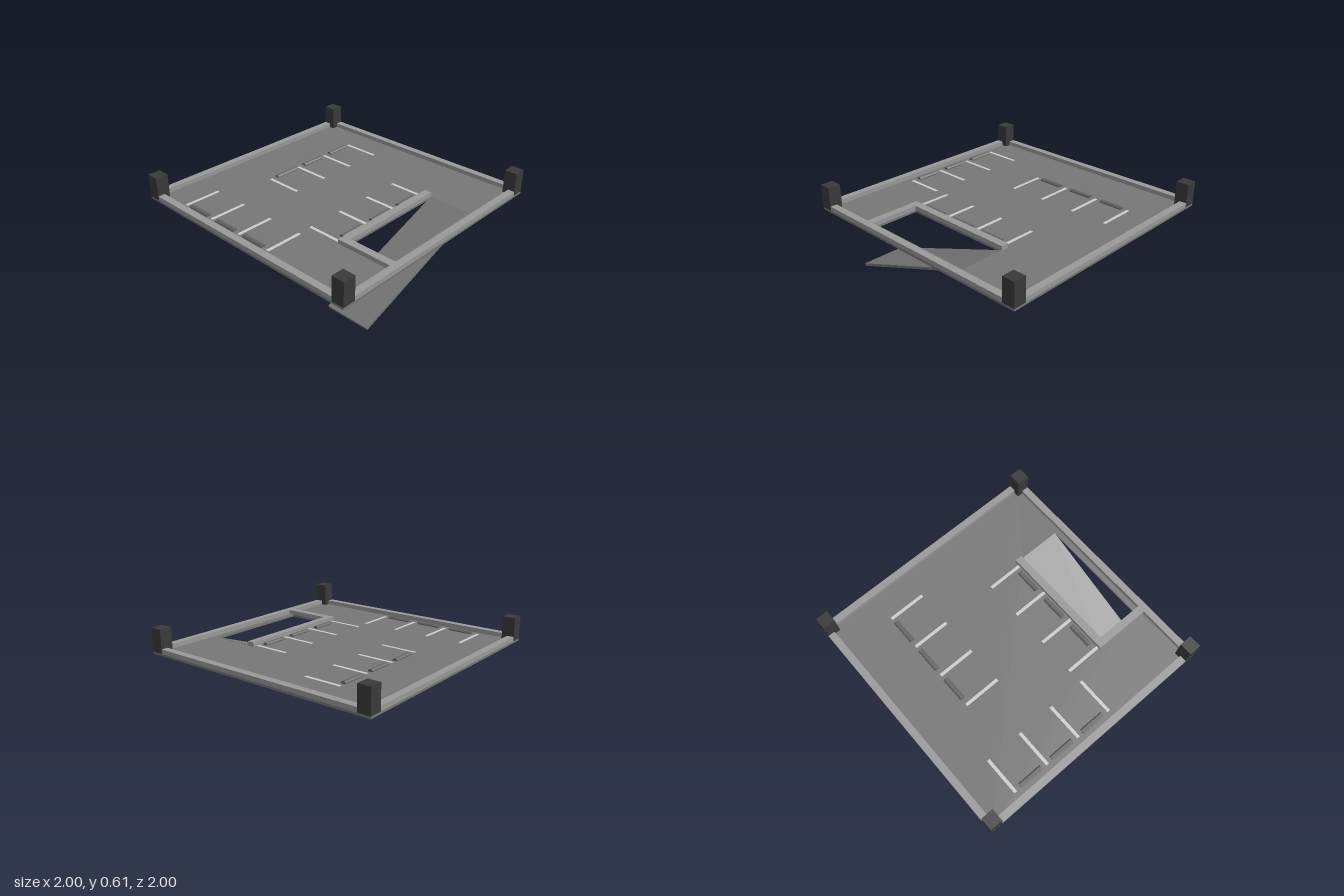
import * as THREE from 'three';

const mat = (color) => new THREE.MeshStandardMaterial({ color, flatShading: true });

const FLOOR = 0.425; // top of the deck slab
const BASE = 0.408; // underside of the deck slab

export function createModel() {
  const model = new THREE.Group();
  const concrete = mat(0x777777);
  const kerbGrey = mat(0x999999);
  const dark = mat(0x3a3a3a);
  const paint = mat(0xdddddd);
  const stopGrey = mat(0x666666);

  const add = (name, geometry, material, parent = model) => {
    const mesh = new THREE.Mesh(geometry, material);
    mesh.name = name;
    parent.add(mesh);
    return mesh;
  };
  // Box given by its extents
  const block = (name, material, x0, x1, y0, y1, z0, z1, parent) =>
    add(name, new THREE.BoxGeometry(x1 - x0, y1 - y0, z1 - z0), material, parent)
      .position.set((x0 + x1) / 2, (y0 + y1) / 2, (z0 + z1) / 2);
  const group = (name) => {
    const g = new THREE.Group();
    g.name = name;
    model.add(g);
    return g;
  };

  // Deck slab with the ramp opening
  const rect = (Type, x0, x1, z0, z1) => new Type([
    [x0, -z1], [x1, -z1], [x1, -z0], [x0, -z0],
  ].map(([x, y]) => new THREE.Vector2(x, y)));
  const deck = rect(THREE.Shape, -1, 1, -1, 1);
  deck.holes.push(rect(THREE.Path, 0.55, 0.9, -0.45, 0.45));
  const slab = add('deckSlab',
    new THREE.ExtrudeGeometry(deck, { depth: FLOOR - BASE, bevelEnabled: false }), concrete);
  slab.rotation.x = -Math.PI / 2;
  slab.position.y = BASE;

  // Ramp, sloping down towards the front at 20 degrees
  const angle = THREE.MathUtils.degToRad(20);
  const thickness = 0.02;
  const length = 1.12 / Math.cos(angle);
  const rampGeometry = new THREE.BoxGeometry(0.35, thickness, length);
  rampGeometry.translate(0, -thickness / 2, -length / 2);
  const ramp = add('ramp', rampGeometry, concrete);
  ramp.rotation.x = angle;
  ramp.position.set(0.725, thickness * Math.cos(angle), 0.67);

  // Edge kerbs and corner pillars
  const kerbs = group('kerbs');
  const pillars = group('pillars');
  const KERB = 0.46;
  for (const s of [-1, 1]) {
    const [a, b] = s < 0 ? [-1, -0.945] : [0.945, 1];
    block('sideKerb', kerbGrey, a, b, FLOOR, KERB, -0.9, 0.9, kerbs);
    block('endKerb', kerbGrey, -0.9, 0.9, FLOOR, KERB, a, b, kerbs);
    for (const t of [-1, 1]) {
      const [c, d] = t < 0 ? [-1, -0.9] : [0.9, 1];
      block('cornerPillar', dark, s < 0 ? -1 : 0.9, s < 0 ? -0.9 : 1, FLOOR, 0.61, c, d, pillars);
    }
  }
  // Kerbs around the ramp opening
  block('rampSideKerb', kerbGrey, 0.49, 0.55, FLOOR, KERB, -0.46, 0.45, kerbs);
  block('rampEndKerb', kerbGrey, 0.49, 0.945, FLOOR, KERB, 0.45, 0.51, kerbs);

  // Painted bay lines
  const lines = group('bayLines');
  const top = FLOOR + 0.002;
  for (let i = 0; i < 4; i++) {
    const z = -0.715 + i * 0.3;
    block('leftBayLine', paint, -0.55, -0.25, FLOOR, top, z - 0.0125, z + 0.0125, lines);
    block('rightBayLine', paint, 0.2, 0.49, FLOOR, top, z + 0.2875, z + 0.3125, lines);
    const x = -0.69 + i * 0.3;
    block('frontBayLine', paint, x - 0.0125, x + 0.0125, FLOOR, top, 0.6, 0.9, lines);
  }

  // Wheel stops with a chamfered profile
  const profile = new THREE.Shape([
    [-0.02, 0], [0.02, 0], [0.02, 0.008], [0.009, 0.018], [-0.009, 0.018], [-0.02, 0.008],
  ].map(([x, y]) => new THREE.Vector2(x, y)));
  const stopGeometry = new THREE.ExtrudeGeometry(profile, { depth: 0.2, bevelEnabled: false });
  stopGeometry.translate(0, 0, -0.1);
  const stops = group('wheelStops');
  const stop = (x, z, turn) => {
    const mesh = add('wheelStop', stopGeometry, stopGrey, stops);
    mesh.position.set(x, FLOOR, z);
    mesh.rotation.y = turn;
  };
  for (let i = 0; i < 3; i++) {
    stop(-0.54, -0.57 + i * 0.3, 0);
    stop(0.455, -0.27 + i * 0.3, 0);
    stop(-0.54 + i * 0.298, 0.885, Math.PI / 2);
  }

  return model;
}
